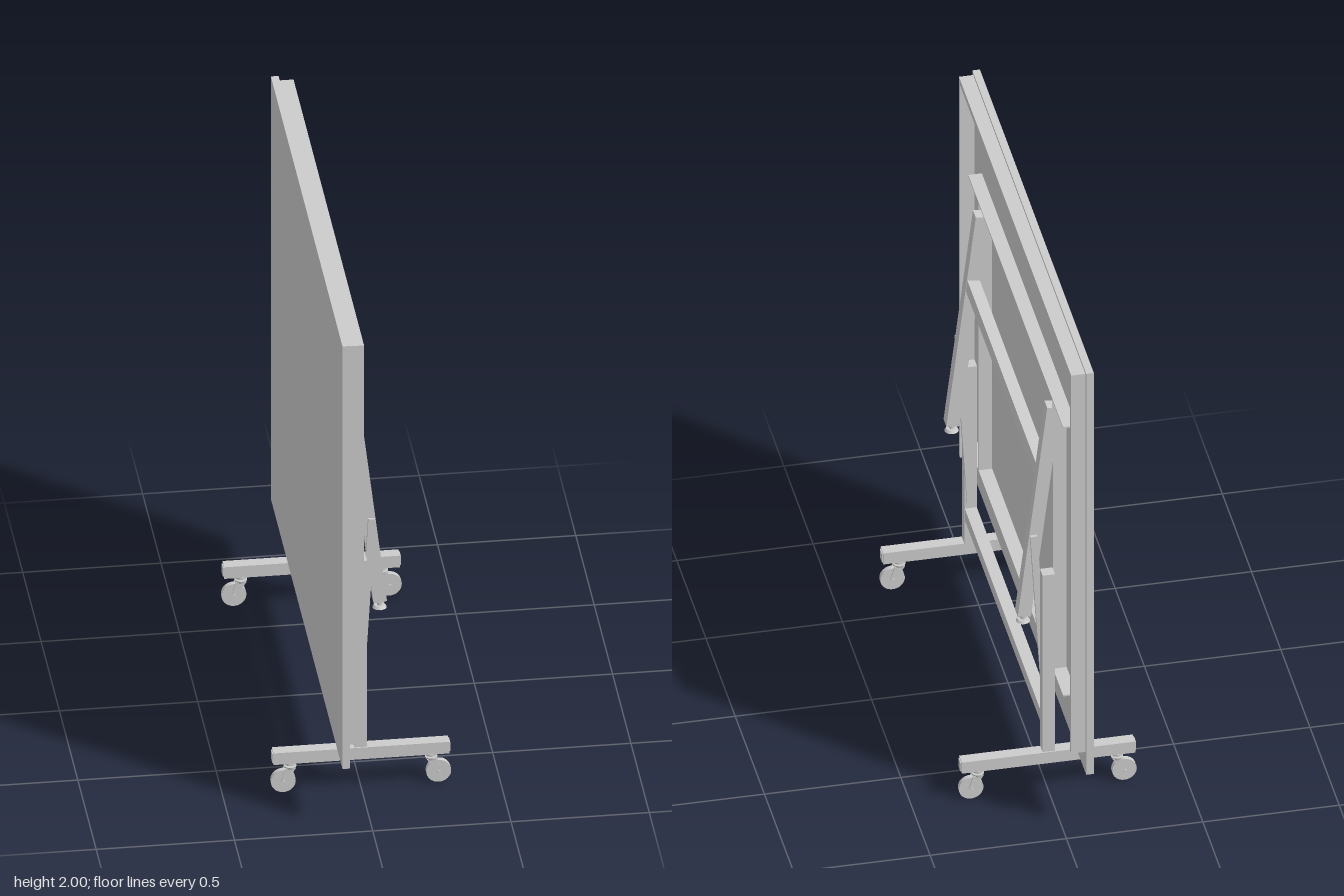
import * as THREE from 'three';

const material = new THREE.MeshStandardMaterial({ color: 0xcccccc, flatShading: true });
const smooth = new THREE.MeshStandardMaterial({ color: 0xcccccc });

function add(parent, name, geometry, x, y, z, mat = material) {
  const mesh = new THREE.Mesh(geometry, mat);
  mesh.name = name;
  mesh.position.set(x, y, z);
  parent.add(mesh);
  return mesh;
}

// Box given by its limits on each axis
function block(parent, name, [x0, x1], [y0, y1], [z0, z1]) {
  return add(parent, name, new THREE.BoxGeometry(x1 - x0, y1 - y0, z1 - z0),
    (x0 + x1) / 2, (y0 + y1) / 2, (z0 + z1) / 2);
}

// Rectangular bar between two points of the x-y plane
function bar(parent, name, a, b, width, depth, z) {
  const dx = b[0] - a[0], dy = b[1] - a[1];
  const mesh = add(parent, name, new THREE.BoxGeometry(width, Math.hypot(dx, dy), depth),
    (a[0] + b[0]) / 2, (a[1] + b[1]) / 2, z);
  mesh.rotation.z = Math.atan2(-dx, dy);
  return mesh;
}

// Swivel caster; the wheel trails towards the given side
function createCaster(side) {
  const caster = new THREE.Group();
  caster.name = 'caster';
  const wheel = add(caster, 'wheel', new THREE.CylinderGeometry(0.045, 0.045, 0.02, 32), side * 0.026, 0.045, 0, smooth);
  wheel.rotation.x = Math.PI / 2;
  const axle = add(caster, 'axle', new THREE.CylinderGeometry(0.007, 0.007, 0.046, 12), side * 0.026, 0.045, 0, smooth);
  axle.rotation.x = Math.PI / 2;
  add(caster, 'swivelStem', new THREE.CylinderGeometry(0.01, 0.01, 0.03, 16), 0, 0.11, 0, smooth);
  add(caster, 'swivelPlate', new THREE.CylinderGeometry(0.022, 0.022, 0.008, 20), 0, 0.116, 0, smooth);
  add(caster, 'forkCrown', new THREE.CylinderGeometry(0.023, 0.02, 0.01, 20), 0, 0.1, 0, smooth);
  const cheek = new THREE.Shape([[-0.018, 0.1], [0.02, 0.1], [0.036, 0.045], [0.026, 0.035], [0.016, 0.045]]
    .map(([x, y]) => new THREE.Vector2(x, y)));
  const cheekGeometry = new THREE.ExtrudeGeometry(cheek, { depth: 0.005, bevelEnabled: false });
  for (const z of [-0.018, 0.013]) {
    const plate = add(caster, 'forkCheek', cheekGeometry, 0, 0, z);
    if (side < 0) {
      plate.rotation.y = Math.PI;
      plate.position.z = z + 0.005;
    }
  }
  return caster;
}

export function createModel() {
  const model = new THREE.Group();
  model.name = 'foldedTable';

  // Table top and its edge frame, open at the bottom
  block(model, 'tableTop', [-0.106, -0.078], [0.25, 2], [-0.975, 0.975]);
  block(model, 'topApron', [-0.078, -0.026], [1.965, 1.99], [-0.96, 0.96]);
  for (const s of [-1, 1]) {
    const apron = block(model, 'sideApron', [-0.078, -0.026], [0.34, 1.965], [0.94, 0.96]);
    apron.position.z *= s;
  }

  // Thin stiffening rails behind the top
  for (const y of [0.49, 1.66]) {
    block(model, 'stiffeningRail', [-0.078, -0.028], [y - 0.003, y + 0.003], [-0.81, 0.81]);
  }

  // Cross bars joining the two sides
  block(model, 'lowerCrossBar', [-0.024, 0.02], [0.275, 0.325], [-0.652, 0.652]);
  const slope = Math.atan(0.12);
  const upper = add(model, 'legCrossBar', new THREE.BoxGeometry(0.046, 0.046, 1.18), 0.003, 1.335, 0);
  upper.rotation.z = slope;

  for (const s of [-1, 1]) {
    // Upright, foot beam and casters
    block(model, 'upright', [-0.025, 0.021], [0.165, 0.94], [s * 0.668 - 0.022, s * 0.668 + 0.022]);
    block(model, 'footBeam', [-0.318, 0.318], [0.122, 0.17], [s * 0.672 - 0.023, s * 0.672 + 0.023]);
    for (const e of [-1, 1]) {
      block(model, 'beamEndCap', [e * 0.319 - 0.003, e * 0.319 + 0.003], [0.128, 0.164],
        [s * 0.672 - 0.017, s * 0.672 + 0.017]);
      const caster = createCaster(e);
      caster.position.set(e * 0.255, 0, s * 0.672);
      model.add(caster);
    }

    // Thin mounting strip between the two rails
    block(model, 'mountingStrip', [-0.078, -0.028], [0.49, 1.66], [s * 0.637 - 0.003, s * 0.637 + 0.003]);

    // Folded leg with levelling foot
    bar(model, 'foldedLeg', [0.076, 0.732], [-0.032, 1.628], 0.049, 0.048, s * 0.611);
    const foot = new THREE.Group();
    foot.name = 'levellingFoot';
    foot.position.set(0.076, 0.735, s * 0.611);
    add(foot, 'footStem', new THREE.CylinderGeometry(0.009, 0.009, 0.03, 16), 0, -0.014, 0, smooth);
    add(foot, 'footNut', new THREE.CylinderGeometry(0.02, 0.02, 0.008, 16), 0, -0.007, 0, smooth);
    add(foot, 'footPad', new THREE.CylinderGeometry(0.02, 0.026, 0.01, 20), 0, -0.03, 0, smooth);
    model.add(foot);

    // Folding link from the leg down to the lower bar
    bar(model, 'foldingLink', [0, 0.35], [0.044, 1.085], 0.026, 0.013, s * 0.643);
  }
  return model;
}
